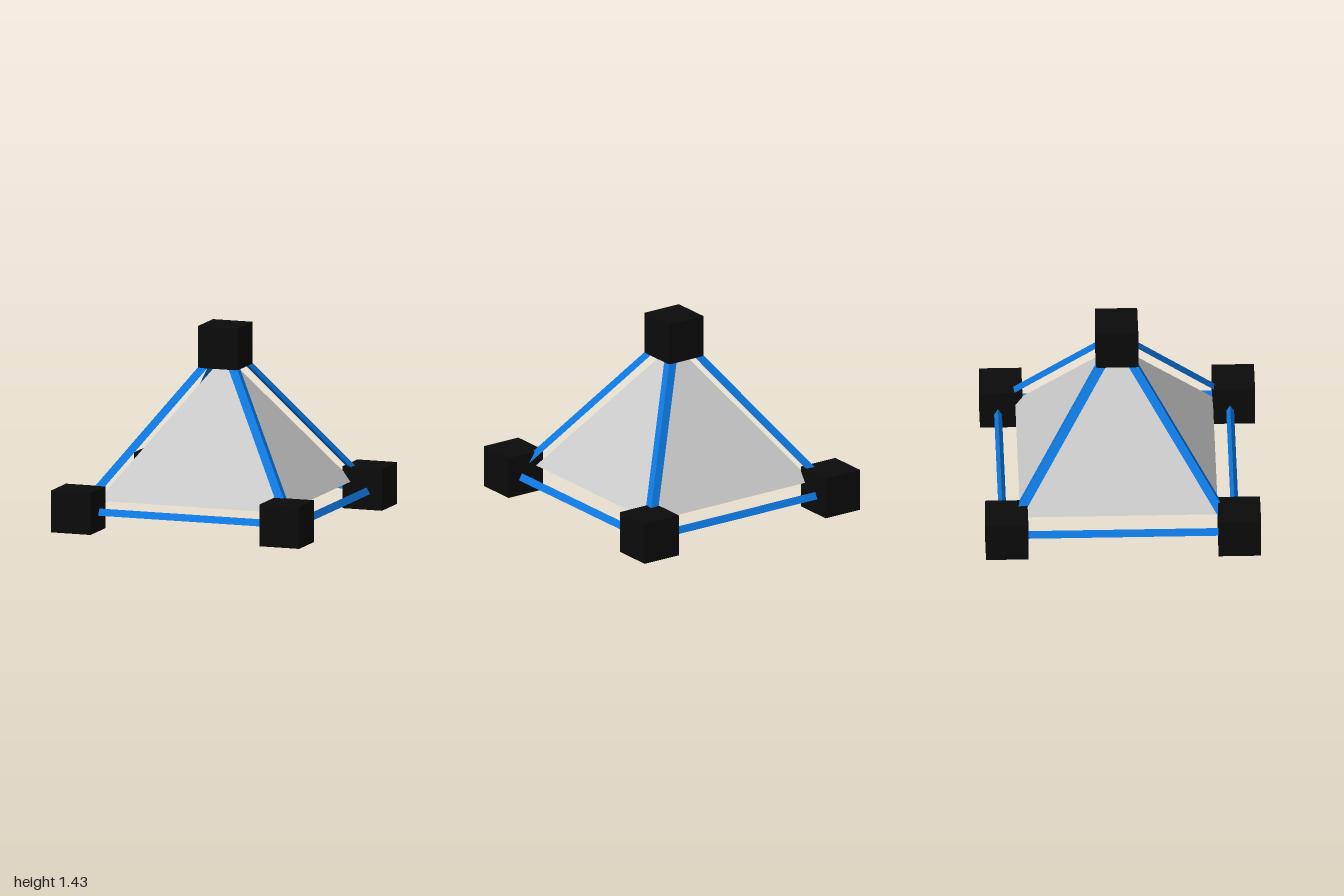
import * as THREE from 'three';

const CUBE = 0.308;      // edge of every joint block
const CZ = -0.025;       // the pyramid and apex sit slightly behind centre

const mat = (color) => new THREE.MeshStandardMaterial({ color, flatShading: true });

// Three-sided bar whose upper ridge runs from a to b, with a flat base below
function ridgeBar(name, a, b, width, height, material) {
  const dir = b.clone().sub(a);
  const length = dir.length();
  dir.normalize();
  const up = new THREE.Vector3(0, 1, 0).addScaledVector(dir, -dir.y).normalize();
  const side = new THREE.Vector3().crossVectors(dir, up);
  const geo = new THREE.CylinderGeometry(1, 1, length, 3);
  geo.scale(width / Math.sqrt(3), 1, height / 1.5);
  const centre = a.clone().add(b).multiplyScalar(0.5).addScaledVector(up, -height * 2 / 3);
  geo.applyMatrix4(new THREE.Matrix4().makeBasis(side, dir, up).setPosition(centre));
  const mesh = new THREE.Mesh(geo, material);
  mesh.name = name;
  return mesh;
}

export function createModel() {
  const group = new THREE.Group();
  group.name = 'pyramidFrame';
  const black = mat(0x0b0b0b), blue = mat(0x0d78e0), grey = mat(0xcccccc);
  const v = (x, y, z) => new THREE.Vector3(x, y, z);

  const block = (name, x, y, z) => {
    const mesh = new THREE.Mesh(new THREE.BoxGeometry(CUBE, CUBE, CUBE), black);
    mesh.position.set(x, y, z);
    mesh.name = name;
    group.add(mesh);
  };

  // Solid pyramid in the middle
  const half = 0.718, baseY = 0.198, apexY = 1.2;
  const coneGeo = new THREE.ConeGeometry(half * Math.SQRT2, apexY - baseY, 4);
  coneGeo.rotateY(Math.PI / 4);
  const pyramid = new THREE.Mesh(coneGeo, grey);
  pyramid.position.set(0, (apexY + baseY) / 2, CZ);
  pyramid.name = 'pyramid';
  group.add(pyramid);

  // Joint blocks and sloping bars
  block('apexBlock', 0, 1.274, CZ);
  for (const sx of [-1, 1]) {
    for (const sz of [-1, 1]) {
      const place = (sz > 0 ? 'front' : 'back') + (sx > 0 ? 'Left' : 'Right');
      block(place + 'Block', sx * 0.81, CUBE / 2, sz * 0.845);
      const ridge = (y) => {
        const r = 0.732 - 0.709 * (y - 0.308);
        return v(sx * r, y, CZ + sz * r);
      };
      group.add(ridgeBar(place + 'SlopingBar', ridge(0.22), ridge(1.24), 0.091, 0.041, blue));
    }
  }

  // Level bars around the base
  const ridgeY = 0.165, w = 0.057, h = 0.048;
  for (const [name, z] of [['frontBaseBar', 0.818], ['backBaseBar', -0.868]]) {
    group.add(ridgeBar(name, v(-0.8, ridgeY, z), v(0.8, ridgeY, z), w, h, blue));
  }
  for (const [name, x] of [['leftBaseBar', 0.844], ['rightBaseBar', -0.842]]) {
    group.add(ridgeBar(name, v(x, ridgeY, -0.84), v(x, ridgeY, 0.84), w, h, blue));
  }
  return group;
}
